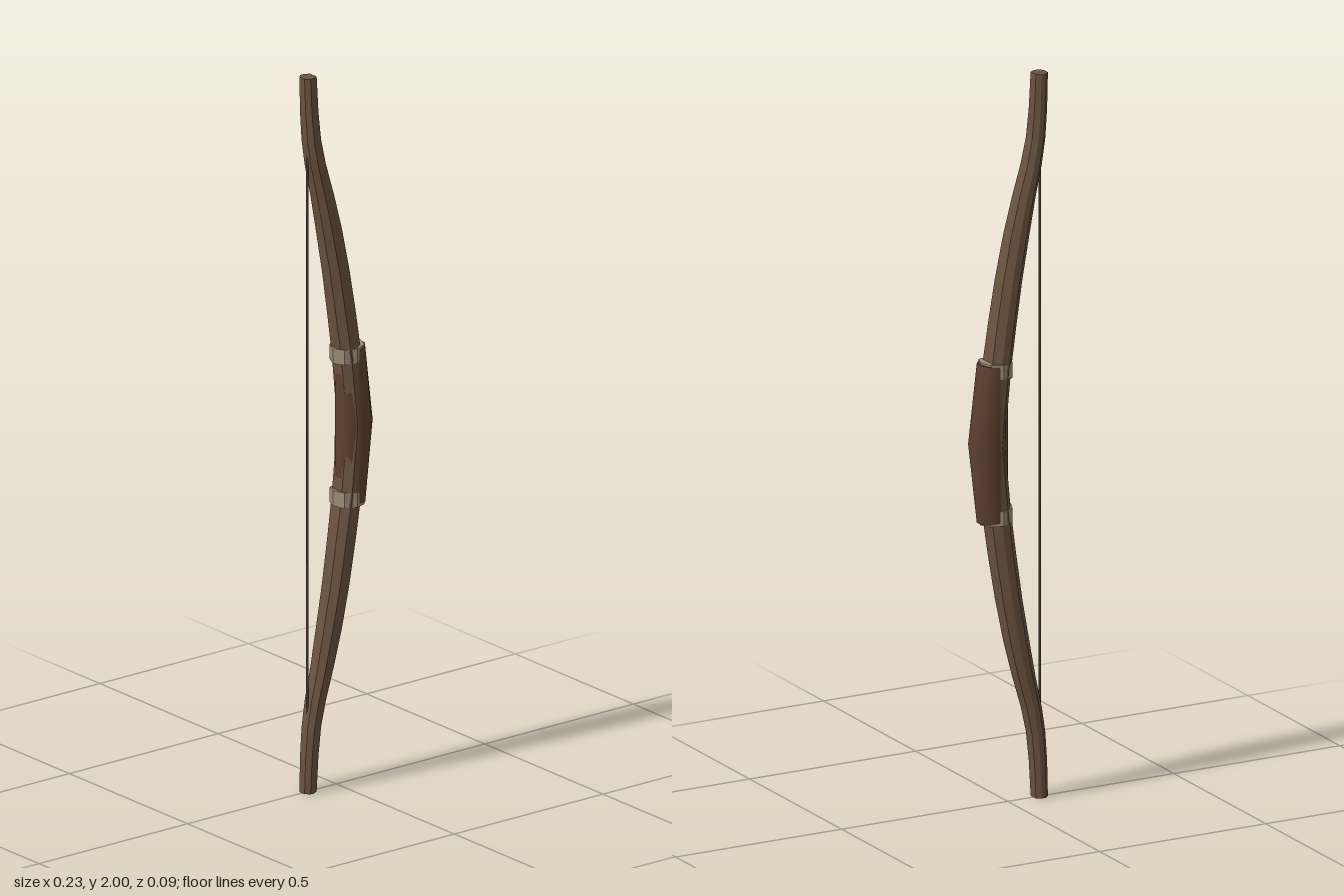
import * as THREE from 'three';

// Regular cross-section with n unit points, counter-clockwise in (x, z)
const ring = (n, start = 0) => Array.from({ length: n }, (_, i) => {
  const a = start + (i / n) * Math.PI * 2;
  return [Math.cos(a), Math.sin(a)];
});

// Capped loft of a unit cross-section; rows are [y, centreX, halfX, halfZ, tilt], from bottom to top
function loft(rows, profile) {
  const n = profile.length, pos = [], idx = [];
  const addRing = ([y, cx, hx, hz, tilt = 0]) => {
    for (const [px, pz] of profile) pos.push(cx + px * hx, y + px * hx * tilt, pz * hz);
  };
  rows.forEach(addRing);
  for (let r = 0; r < rows.length - 1; r++) {
    for (let i = 0; i < n; i++) {
      const a = r * n + i, b = r * n + (i + 1) % n;
      idx.push(a, a + n, b, b, a + n, b + n);
    }
  }
  // Caps have their own vertices so their edges stay sharp
  for (const [row, top] of [[rows[0], false], [rows[rows.length - 1], true]]) {
    const s = pos.length / 3;
    addRing(row);
    for (let i = 1; i < n - 1; i++) idx.push(s, top ? s + i + 1 : s + i, top ? s + i : s + i + 1);
  }
  const g = new THREE.BufferGeometry();
  g.setAttribute('position', new THREE.Float32BufferAttribute(pos, 3));
  g.setIndex(idx);
  g.computeVertexNormals();
  return g;
}

// Completes rows listed from the middle upward with their mirror below y = 1
const mirrorRows = (rows) => [
  ...rows.filter((r) => r[0] > 1).reverse().map(([y, ...rest]) => [2 - y, ...rest]),
  ...rows,
];

export function createModel() {
  const group = new THREE.Group();
  const material = (color, flatShading = false) =>
    new THREE.MeshStandardMaterial({ color, flatShading });
  const add = (name, geometry, mat) => {
    const mesh = new THREE.Mesh(geometry, mat);
    mesh.name = name;
    group.add(mesh);
  };

  // Curved wooden stave, tapering to both tips
  const staveProfile = [
    [1, -0.65], [1, 0.65], [0.3, 1], [-0.4, 1],
    [-1, 0.5], [-1, -0.5], [-0.4, -1], [0.3, -1],
  ];
  add('stave', loft(mirrorRows([
    [1, 0.052, 0.032, 0.042],
    [1.2, 0.032, 0.031, 0.041],
    [1.32, 0.015, 0.031, 0.038],
    [1.44, -0.004, 0.03, 0.036],
    [1.56, -0.027, 0.029, 0.033],
    [1.66, -0.049, 0.026, 0.03],
    [1.75, -0.072, 0.023, 0.028],
    [1.82, -0.085, 0.021, 0.026],
    [1.9, -0.092, 0.02, 0.024],
    [2, -0.096, 0.019, 0.022],
  ]), staveProfile), material(0x6b5340, true));

  // Leather grip, straight inside and bulging to the middle outside
  add('grip', loft(mirrorRows([
    [1, 0.059, 0.055, 0.046],
    [1.215, 0.046, 0.042, 0.042, 0.12],
  ]).map((r, i) => (i === 0 ? [...r.slice(0, 4), -0.12] : r)), ring(10, Math.PI / 10)),
  material(0x5e4130));

  // Pale bindings at both ends of the grip
  const bandMaterial = material(0x9a8e76, true);
  const bandRows = [
    [1.182, 0.036, 0.046, 0.045, 0.1],
    [1.222, 0.036, 0.047, 0.046, 0.05],
  ];
  add('upperBinding', loft(bandRows, ring(8)), bandMaterial);
  add('lowerBinding', loft(bandRows.map(([y, cx, hx, hz, t]) => [2 - y, cx, hx, hz, -t]).reverse(),
    ring(8)), bandMaterial);

  // Bowstring between the limbs
  const string = new THREE.CylinderGeometry(0.0035, 0.0035, 1.62, 6);
  string.translate(-0.097, 1, 0);
  add('bowstring', string, material(0x4a4038));

  return group;
}
